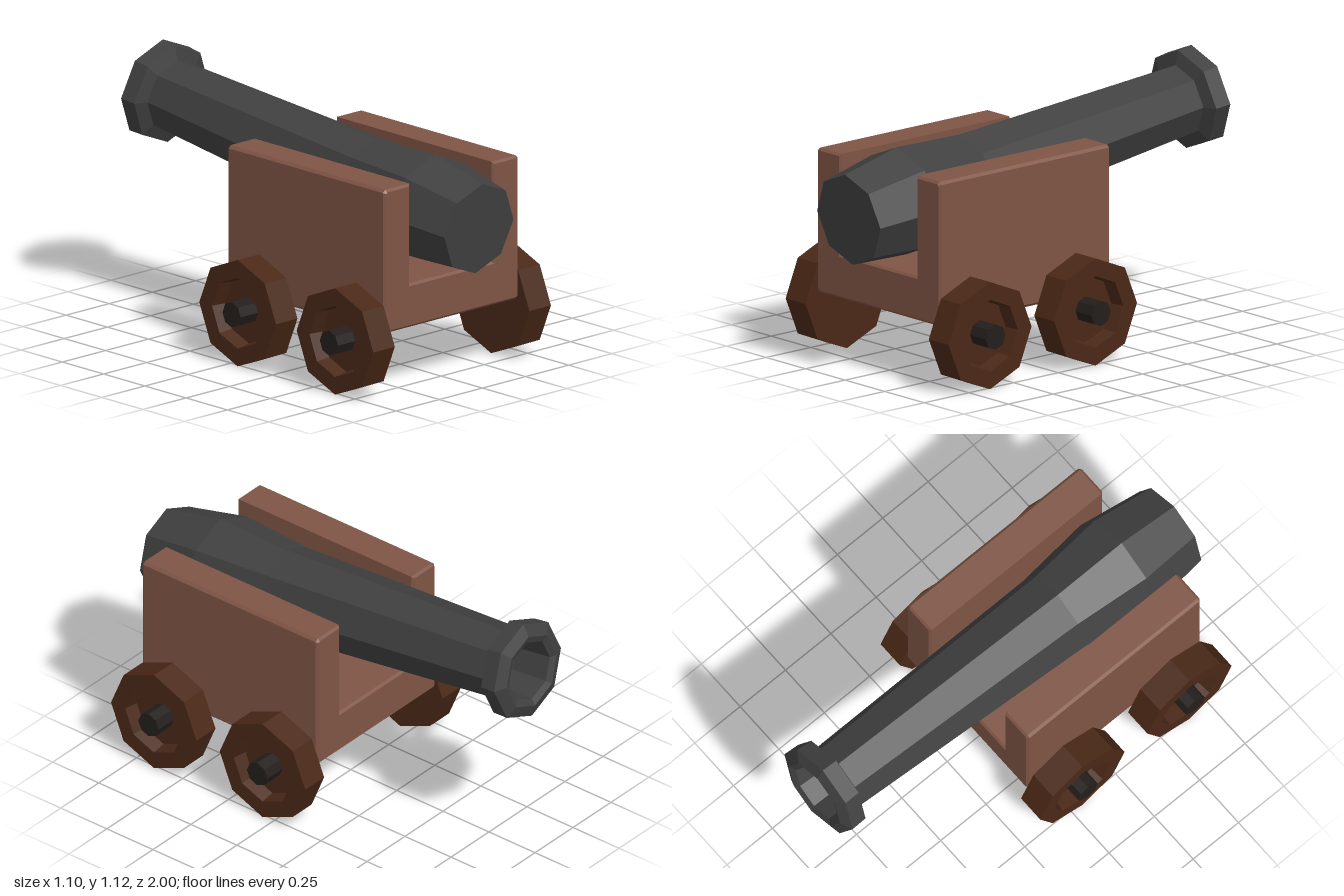
import * as THREE from 'three';

const material = (color, side = THREE.FrontSide) =>
  new THREE.MeshStandardMaterial({ color, flatShading: true, side });
const iron = material(0x404040);
const wood = material(0x7f5545);
const wheelWood = material(0x4a2817);
const axleIron = material(0x231e1c);

const lathe = (points) =>
  new THREE.LatheGeometry(points.map(([r, h]) => new THREE.Vector2(r, h)), 8);

function named(name, geometry, mat) {
  const mesh = new THREE.Mesh(geometry, mat);
  mesh.name = name;
  return mesh;
}

// Octagonal barrel from breech to flared muzzle, then back into the bore
function makeBarrel() {
  const geometry = lathe([
    [0, -0.985], [0.2, -0.985], [0.238, -0.69], [0.195, -0.34],
    [0.157, 0.87], [0.216, 0.89], [0.22, 0.965], [0.165, 0.988],
    [0.135, 0.975], [0.125, 0.8], [0, 0.8],
  ]);
  geometry.rotateX(-Math.PI / 2);
  const barrel = named('barrel', geometry, iron);
  barrel.position.y = 0.796;
  barrel.rotation.x = 0.106;
  return barrel;
}

// U-shaped carriage, extruded along z with slim chamfers
function makeCarriage() {
  const c = 0.012;
  const shape = new THREE.Shape([
    [-0.39 + c, 0.275], [0.39 - c, 0.275], [0.39, 0.275 + c],
    [0.39, 0.9 - c], [0.39 - c, 0.9], [0.238, 0.9],
    [0.238, 0.465], [-0.238, 0.465], [-0.238, 0.9],
    [-0.39 + c, 0.9], [-0.39, 0.9 - c], [-0.39, 0.275 + c],
  ].map(([x, y]) => new THREE.Vector2(x, y)));
  const b = 0.01;
  const geometry = new THREE.ExtrudeGeometry(shape, {
    depth: 0.955 - 2 * b, bevelEnabled: true, bevelSegments: 1,
    bevelSize: b, bevelThickness: b, bevelOffset: -b,
  });
  geometry.translate(0, 0, -0.14 + b);
  return named('carriage', geometry, wood);
}

// Octagonal wheel, flat inside and dished outside, with an axle stub
function makeWheel(side, z) {
  const wheel = new THREE.Group();
  wheel.name = 'wheel';
  const disc = lathe([
    [0, 0.39], [0.232, 0.39], [0.232, 0.515],
    [0.155, 0.515], [0.145, 0.45], [0, 0.45],
  ]);
  const stub = lathe([[0, 0.4], [0.055, 0.4], [0.055, 0.55], [0, 0.55]]);
  for (const g of [disc, stub]) g.rotateZ(-Math.PI / 2);
  wheel.add(named('wheelRim', disc, wheelWood), named('axleStub', stub, axleIron));
  wheel.position.set(0, 0.233, z);
  if (side < 0) wheel.rotation.y = Math.PI;
  return wheel;
}

export function createModel() {
  const model = new THREE.Group();
  model.name = 'cannon';
  model.add(makeBarrel(), makeCarriage());
  for (const side of [-1, 1])
    for (const z of [0.055, 0.645]) model.add(makeWheel(side, z));
  return model;
}
